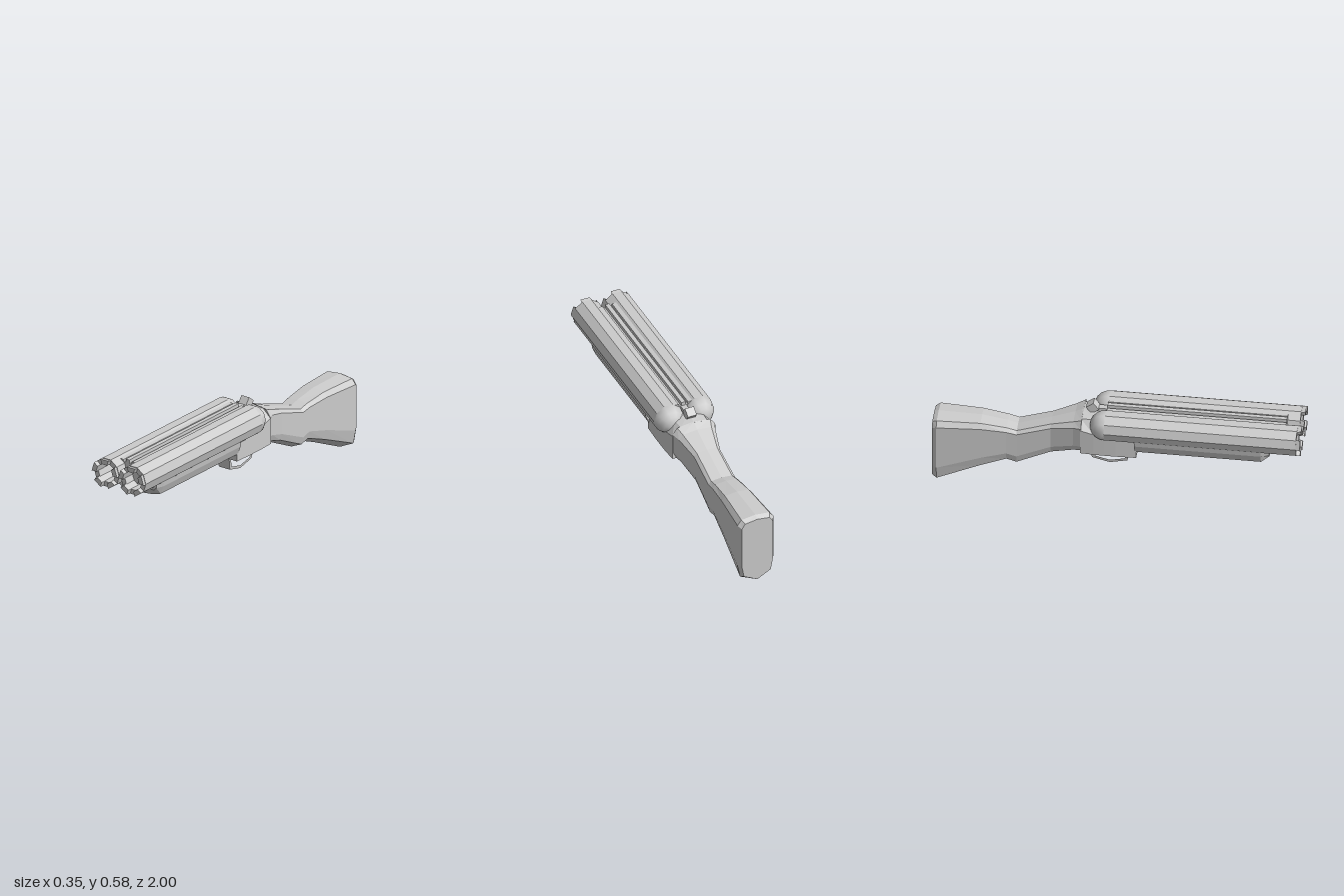
import * as THREE from 'three';

const mat = new THREE.MeshStandardMaterial({ color: 0xcccccc, flatShading: true });
const smooth = new THREE.MeshStandardMaterial({ color: 0xcccccc });

// Half outline (bottom centre to top centre, +x side) to a closed ring
const mirrorRing = (half) => [...half, ...half.filter(p => p[0] > 0).reverse().map(([x, y]) => [-x, y])];

// Skin a list of { z, pts } sections running from front to back, with end caps
function loft(sections) {
  const n = sections[0].pts.length, pos = [], idx = [];
  sections.forEach(({ z, pts }) => pts.forEach(([x, y], i) =>
    pos.push(x, y, Array.isArray(z) ? z[i] : z)));
  for (let s = 0; s < sections.length - 1; s++) {
    for (let i = 0; i < n; i++) {
      const a = s * n + i, b = s * n + (i + 1) % n;
      idx.push(a, a + n, b, b, a + n, b + n);
    }
  }
  const last = (sections.length - 1) * n;
  for (let i = 1; i < n - 1; i++) {
    idx.push(0, i, i + 1, last, last + i + 1, last + i);
  }
  const g = new THREE.BufferGeometry();
  g.setAttribute('position', new THREE.Float32BufferAttribute(pos, 3));
  g.setIndex(idx);
  const flat = g.toNonIndexed();
  flat.computeVertexNormals();
  return flat;
}

const shapeOf = (pts) => new THREE.Shape(pts.map(([x, y]) => new THREE.Vector2(x, y)));
const extrude = (shape, depth) => new THREE.ExtrudeGeometry(shape, { depth, bevelEnabled: false });

// Side profile given as (z, y), extruded across x and centred
function sideExtrude(shape, width) {
  return extrude(shape, width).translate(0, 0, -width / 2).rotateY(-Math.PI / 2);
}

const polar = (r, deg) => [r * Math.cos(deg * Math.PI / 180), r * Math.sin(deg * Math.PI / 180)];

export function createModel() {
  const model = new THREE.Group();
  const add = (parent, name, geo, material = mat) => {
    const m = new THREE.Mesh(geo, material);
    m.name = name;
    parent.add(m);
    return m;
  };

  // Ten-sided barrels with notched muzzles and domed breech ends
  const R = 0.085, r = 0.056, back = -0.06, notch = 0.978;
  const decagon = (rad) => Array.from({ length: 10 }, (_, i) => polar(rad, i * 36));
  for (const side of [1, -1]) {
    const barrel = new THREE.Group();
    barrel.name = side > 0 ? 'leftBarrel' : 'rightBarrel';
    barrel.position.set(side * 0.089, 0.489, 0);
    const tube = shapeOf(decagon(R));
    tube.holes.push(shapeOf(decagon(r)));
    add(barrel, 'barrelTube', extrude(tube, notch - back).translate(0, 0, back));
    add(barrel, 'boreFloor', new THREE.CircleGeometry(r, 10).translate(0, 0, back + 0.01));
    add(barrel, 'breechDome', new THREE.SphereGeometry(R, 10, 5, 0, Math.PI * 2, 0, Math.PI / 2)
      .rotateX(-Math.PI / 2).translate(0, 0, back), smooth);
    for (let i = 0; i < 5; i++) {
      const a = i * 72;
      const tooth = (e, k) => [polar(r, a - e), polar(R * k, a - e), polar(R * k, a + 36 + e), polar(r, a + 36 + e)];
      add(barrel, 'muzzleTooth', loft([
        { z: 1, pts: tooth(0, 1) },
        { z: notch, pts: tooth(4, 0.99) },
      ]));
    }
    model.add(barrel);
  }

  // Filler between the barrels, with a grooved sighting rib on top
  const core = mirrorRing([
    [0.021, 0.39], [0.06, 0.415], [0.08, 0.48], [0.055, 0.562], [0.028, 0.559],
    [0.026, 0.546], [0.013, 0.546], [0.012, 0.566],
  ]);
  add(model, 'barrelRib', extrude(shapeOf(core), 0.97).translate(0, 0, -0.06));

  // Fore-end under the barrels, sloped at its front
  const foreHalf = [[0, 0.333], [0.07, 0.34], [0.128, 0.357], [0.147, 0.405], [0.152, 0.44], [0, 0.44]];
  const fore = mirrorRing(foreHalf);
  const nose = fore.map(([x, y]) => [x * 0.9, Math.max(y, 0.39)]);
  add(model, 'foreEnd', loft([
    { z: 0.83, pts: nose },
    { z: 0.785, pts: fore },
    { z: 0.1, pts: fore },
  ]));

  // Receiver: flat-bottomed block rising behind the barrels
  const body = (w, t, c) => mirrorRing([[0, 0.317], [w, 0.317], [w, t - c], [w * 0.62, t - c * 0.2], [0, t]]);
  add(model, 'receiver', loft([
    { z: 0.11, pts: body(0.13, 0.45, 0.03) },
    { z: 0, pts: body(0.133, 0.47, 0.04) },
    { z: -0.06, pts: body(0.133, 0.52, 0.08) },
    { z: -0.12, pts: body(0.132, 0.53, 0.08) },
    { z: -0.195, pts: body(0.127, 0.522, 0.055) },
  ]));

  // Stock: z, half width, top, bottom, top chamfer, bottom V height
  const stock = [
    [-0.19, 0.125, 0.524, 0.317, 0.05, 0.005],
    [-0.235, 0.108, 0.5, 0.293, 0.035, 0.018],
    [-0.36, 0.077, 0.452, 0.238, 0.025, 0.028],
    [-0.545, 0.079, 0.39, 0.15, 0.022, 0.03],
    [-0.6, 0.081, 0.405, 0.167, 0.025, 0.03],
    [-0.74, 0.09, 0.428, 0.11, 0.035, 0.035],
    [-0.975, 0.106, 0.432, 0.003, 0.04, 0.044],
    [-1, 0.092, 0.418, 0.018, 0.04, 0.042],
  ];
  add(model, 'stock', loft(stock.map(([z, w, t, b, c, v]) => ({
    z,
    pts: mirrorRing([
      [0, b], [w * 0.86, b + v], [w, b + v + (t - b) * 0.18],
      [w, t - c], [w * 0.78, t - c * 0.25], [0, t],
    ]),
  }))));

  // Trigger guard: closed loop, narrowing towards the bottom
  const guardShape = shapeOf([[0.075, 0.325], [0.05, 0.225], [-0.045, 0.202], [-0.14, 0.228], [-0.165, 0.325]]);
  guardShape.holes.push(shapeOf([[0.057, 0.31], [0.036, 0.238], [-0.045, 0.219], [-0.122, 0.24], [-0.143, 0.31]]));
  const guard = sideExtrude(guardShape, 0.096);
  const p = guard.attributes.position;
  for (let i = 0; i < p.count; i++) {
    p.setX(i, p.getX(i) * (0.7 + 0.3 * (p.getY(i) - 0.202) / 0.123));
  }
  guard.computeVertexNormals();
  add(model, 'triggerGuard', guard);

  // Trigger
  add(model, 'trigger', sideExtrude(shapeOf([
    [-0.085, 0.325], [-0.14, 0.325], [-0.135, 0.295], [-0.095, 0.248],
    [-0.05, 0.24], [-0.06, 0.258], [-0.082, 0.285],
  ]), 0.03));

  // Top lever, tilted back behind the barrels
  const lever = add(model, 'topLever', new THREE.BoxGeometry(0.052, 0.05, 0.05));
  lever.position.set(0, 0.546, -0.14);
  lever.rotation.x = -0.65;
  const stem = add(model, 'leverStem', new THREE.BoxGeometry(0.034, 0.05, 0.08));
  stem.position.set(0, 0.52, -0.095);

  // The side profiles are drawn as (z, y): turn them to face the front
  for (const m of model.children) {
    if (m.name === 'triggerGuard' || m.name === 'trigger') m.updateMatrix();
  }
  return model;
}
